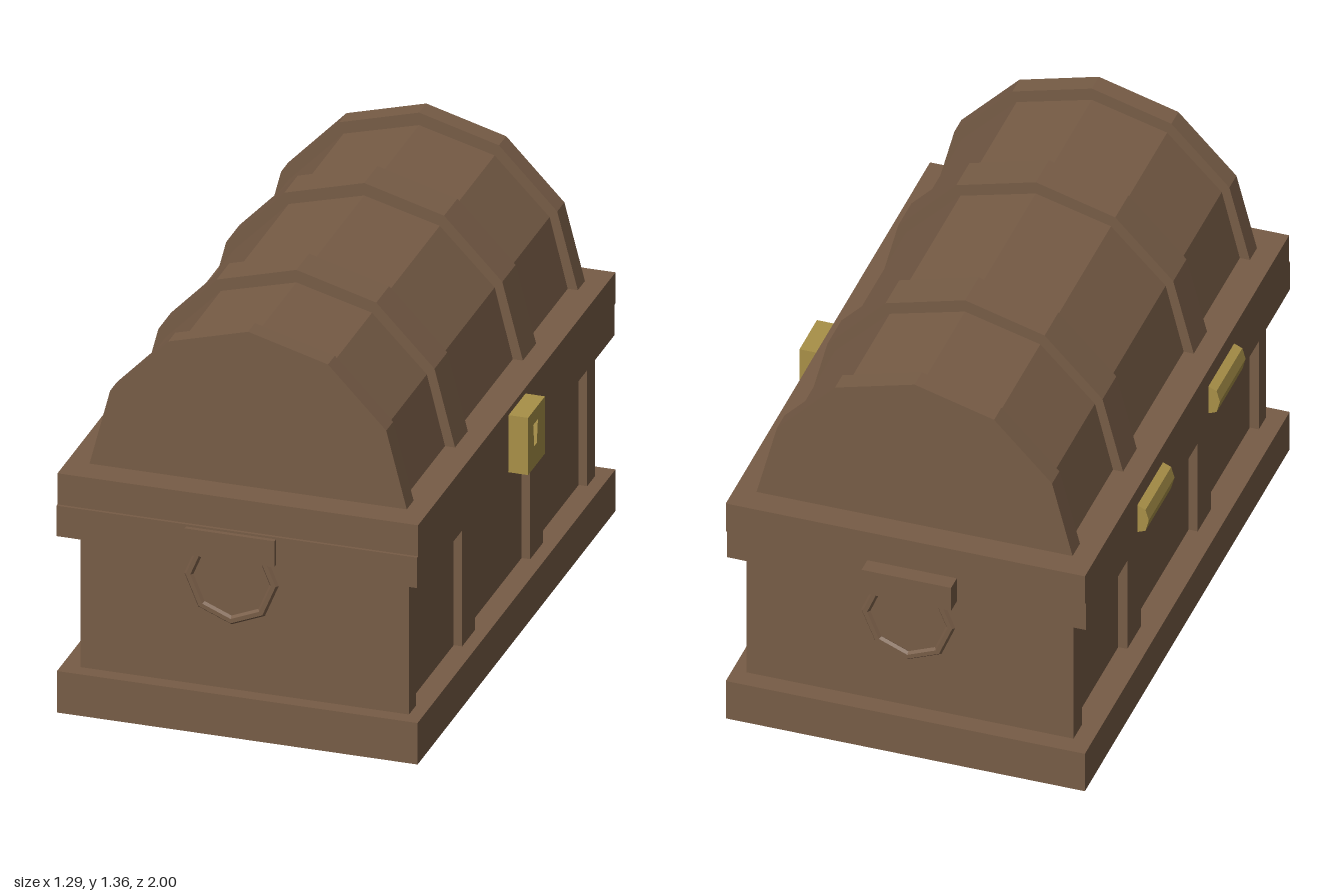
import * as THREE from 'three';

const wood = new THREE.MeshStandardMaterial({ color: 0x775c46, flatShading: true });
wood.name = 'brown wood';
const brass = new THREE.MeshStandardMaterial({ color: 0xa89047, flatShading: true });
brass.name = 'dull brass';

const CX = -0.0125; // middle of the chest across its width

export function createModel() {
  const chest = new THREE.Group();
  chest.name = 'chest';

  function add(name, geometry, material) {
    const mesh = new THREE.Mesh(geometry, material);
    mesh.name = name;
    chest.add(mesh);
    return mesh;
  }

  // Box given by its limits on each axis
  function box(name, [x0, x1], [y0, y1], [z0, z1], material = wood) {
    const mesh = add(name, new THREE.BoxGeometry(x1 - x0, y1 - y0, z1 - z0), material);
    mesh.position.set((x0 + x1) / 2, (y0 + y1) / 2, (z0 + z1) / 2);
    return mesh;
  }

  // Outline in x and y, extruded from z0 to z1
  function prism(name, points, z0, z1, material = wood) {
    const shape = new THREE.Shape(points.map(([x, y]) => new THREE.Vector2(x, y)));
    const geometry = new THREE.ExtrudeGeometry(shape, { depth: z1 - z0, bevelEnabled: false });
    geometry.translate(0, 0, z0);
    return add(name, geometry, material);
  }

  // Plinth, body and the two rims
  const rimX = [-0.605, 0.578];
  box('base', rimX, [0, 0.143], [-0.955, 0.98]);
  box('body', [-0.515, 0.505], [0.143, 0.61], [-0.885, 0.925]);
  box('bodyRim', rimX, [0.61, 0.715], [-0.945, 0.985]);
  box('lidRim', rimX, [0.715, 0.822], [-0.955, 0.975]);

  // Straps around the body
  for (const z of [[-0.89, -0.812], [-0.382, -0.255], [0.283, 0.41], [0.86, 0.93]])
    box('bodyStrap', [-0.545, 0.533], [0.143, 0.61], z);

  // Faceted lid and its straps
  const arch = (half) => [
    ...half.map(([x, y]) => [CX + x, y]),
    ...half.slice(0, -1).reverse().map(([x, y]) => [CX - x, y]),
  ];
  const lidProfile = arch([[0.488, 0.82], [0.428, 1.06], [0.248, 1.245], [0, 1.312]]);
  const strapProfile = arch([[0.521, 0.82], [0.453, 1.083], [0.262, 1.282], [0, 1.355]]);
  prism('lid', lidProfile, -0.86, 0.87);
  for (const [z0, z1] of [[-0.865, -0.795], [-0.388, -0.258], [0.28, 0.405], [0.81, 0.877]])
    prism('lidStrap', strapProfile, z0, z1);

  // Lock with a sunken keyhole
  const face = new THREE.Shape([[-0.09, 0.605], [0.075, 0.605], [0.075, 0.802], [-0.09, 0.802]]
    .map(([x, y]) => new THREE.Vector2(x, y)));
  face.holes.push(new THREE.Path([[-0.03, 0.678], [-0.04, 0.755], [0.006, 0.755], [-0.005, 0.678]]
    .map(([x, y]) => new THREE.Vector2(x, y))));
  const lockGeometry = new THREE.ExtrudeGeometry(face, { depth: 0.015, bevelEnabled: false });
  lockGeometry.rotateY(Math.PI / 2).translate(0.627, 0, 0);
  add('lockFace', lockGeometry, brass);
  box('lockBody', [0.57, 0.627], [0.605, 0.802], [-0.075, 0.09], brass);

  // Hinges on the opposite long side
  const hingeProfile = [[-0.6, 0.762], [-0.632, 0.748], [-0.643, 0.71], [-0.632, 0.668], [-0.6, 0.655]];
  for (const [z0, z1] of [[-0.46, -0.217], [0.212, 0.455]])
    prism('hinge', hingeProfile, z0, z1, brass);

  // Handle plates and rings at both ends
  for (const [z, ringZ] of [[[-1, -0.94], -0.983], [[0.97, 1], 0.978]]) {
    box('handlePlate', [-0.18, 0.115], [0.62, 0.708], z);
    const ring = add('handleRing', new THREE.TorusGeometry(0.14, 0.015, 6, 8), wood);
    ring.position.set(-0.033, 0.545, ringZ);
    ring.scale.z = 0.75;
  }

  return chest;
}
